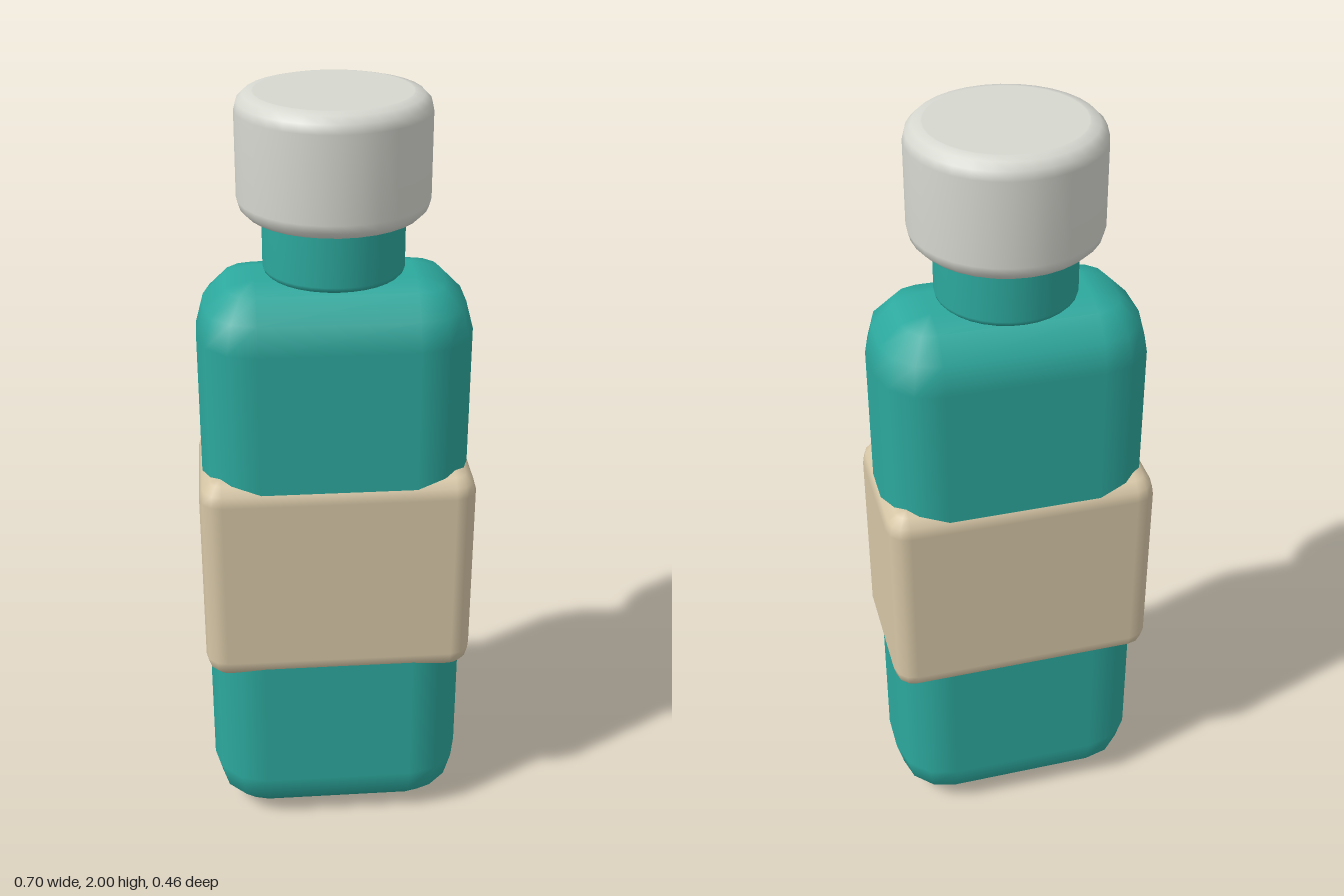
import * as THREE from 'three';

const mat = (name, color) => Object.assign(new THREE.MeshStandardMaterial({ color }), { name });

// Box with rounded edges and corners, built from stacked cross-sections
function roundedBlock(w, h, d, r, steps = 3) {
  const pos = [], nor = [], idx = [];
  const per = 4 * (steps + 1);
  const quarter = Math.PI / 2;
  let rows = 0;
  for (const sy of [-1, 1]) {
    for (let j = 0; j <= steps; j++) {
      const lat = quarter * (sy < 0 ? j / steps - 1 : j / steps);
      for (let c = 0; c < 4; c++) {
        const sx = c === 0 || c === 3 ? 1 : -1, sz = c < 2 ? 1 : -1;
        for (let i = 0; i <= steps; i++) {
          const a = quarter * (c + i / steps);
          const n = [Math.cos(lat) * Math.cos(a), Math.sin(lat), Math.cos(lat) * Math.sin(a)];
          pos.push(sx * (w / 2 - r) + r * n[0], sy * (h / 2 - r) + r * n[1], sz * (d / 2 - r) + r * n[2]);
          nor.push(...n);
        }
      }
      rows++;
    }
  }
  for (let j = 0; j < rows - 1; j++) {
    for (let i = 0; i < per; i++) {
      const a = j * per + i, b = j * per + (i + 1) % per;
      idx.push(a, a + per, b, b, a + per, b + per);
    }
  }
  // Flat bottom and top
  const k = steps + 1, t = (rows - 1) * per;
  idx.push(0, k, 2 * k, 0, 2 * k, 3 * k);
  idx.push(t, t + 2 * k, t + k, t, t + 3 * k, t + 2 * k);
  const g = new THREE.BufferGeometry();
  g.setAttribute('position', new THREE.Float32BufferAttribute(pos, 3));
  g.setAttribute('normal', new THREE.Float32BufferAttribute(nor, 3));
  g.setIndex(idx);
  return g;
}

// Upright cylinder with rounded rims
function roundedDrum(radius, y0, y1, r, steps = 3) {
  const pts = [new THREE.Vector2(0, y0), new THREE.Vector2(radius - r - 0.004, y0)];
  for (const s of [-1, 1]) {
    for (let i = 0; i <= steps; i++) {
      const a = (Math.PI / 2) * (s < 0 ? i / steps - 1 : i / steps);
      const y = s < 0 ? y0 + r : y1 - r;
      pts.push(new THREE.Vector2(radius - r + r * Math.cos(a), y + r * Math.sin(a)));
    }
  }
  pts.push(new THREE.Vector2(radius - r - 0.004, y1), new THREE.Vector2(0, y1));
  return new THREE.LatheGeometry(pts, 32);
}

export function createModel() {
  const model = new THREE.Group();
  model.name = 'bottle';
  const teal = mat('teal', 0x2ca89d);
  const cream = mat('cream', 0xd6c6a6);
  const grey = mat('light grey', 0xd6d7cf);

  const add = (name, geometry, material, y = 0) => {
    const mesh = new THREE.Mesh(geometry, material);
    mesh.name = name;
    mesh.position.y = y;
    model.add(mesh);
  };

  add('body', roundedBlock(0.68, 1.563, 0.39, 0.145), teal, 0.7815);
  add('labelBand', roundedBlock(0.7, 0.58, 0.407, 0.056), cream, 0.785);
  add('neck', roundedDrum(0.173, 1.565, 1.76, 0.016), teal);
  add('cap', roundedDrum(0.232, 1.71, 2, 0.042), grey);
  return model;
}
